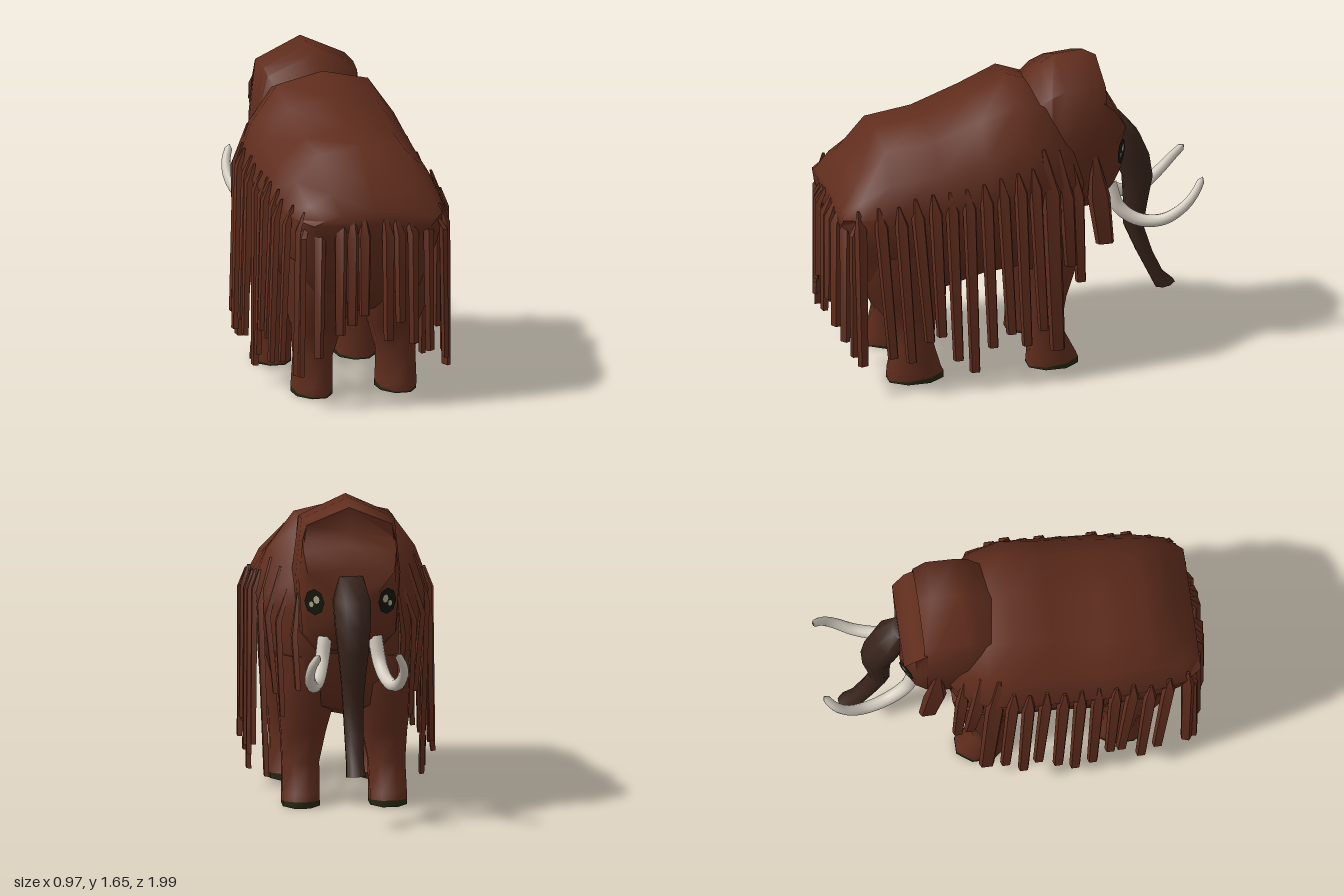
import * as THREE from 'three';
import { toCreasedNormals } from 'three/addons/utils/BufferGeometryUtils.js';

const mat = (name, color) => {
  const m = new THREE.MeshStandardMaterial({ color });
  m.name = name;
  return m;
};

// Closed skin over equal-length rings of [x, y, z]; faces are turned outward.
function loft(rings, crease = 1.1) {
  const n = rings[0].length, pos = [], idx = [];
  rings.forEach(r => r.forEach(p => pos.push(...p)));
  for (let i = 0; i < rings.length - 1; i++) {
    for (let j = 0; j < n; j++) {
      const a = i * n + j, b = i * n + (j + 1) % n;
      idx.push(a, b, a + n, b, b + n, a + n);
    }
  }
  [0, rings.length - 1].forEach((ri, end) => {
    const c = pos.length / 3;
    pos.push(...[0, 1, 2].map(k => rings[ri].reduce((s, p) => s + p[k], 0) / n));
    for (let j = 0; j < n; j++) {
      const a = ri * n + j, b = ri * n + (j + 1) % n;
      idx.push(...(end ? [a, b, c] : [b, a, c]));
    }
  });
  const at = i => new THREE.Vector3().fromArray(pos, i * 3);
  let volume = 0;
  for (let i = 0; i < idx.length; i += 3) volume += at(idx[i]).dot(at(idx[i + 1]).cross(at(idx[i + 2])));
  if (volume < 0) idx.reverse();
  const g = new THREE.BufferGeometry();
  g.setAttribute('position', new THREE.Float32BufferAttribute(pos, 3));
  g.setIndex(idx);
  return toCreasedNormals(g, crease);
}

// Mirrored upright ring at depth z, from a half outline running top to bottom.
const section = (z, half) => [
  ...half.map(([x, y]) => [x, y, z]),
  ...half.slice(1, -1).reverse().map(([x, y]) => [-x, y, z]),
];

// Level eight-sided ring.
const octagon = (x, y, z, rx, rz) => Array.from({ length: 8 }, (_, i) => {
  const a = (i + 0.5) * Math.PI / 4, k = 1 / Math.cos(Math.PI / 8);
  return [x + Math.cos(a) * rx * k, y, z + Math.sin(a) * rz * k];
});

// Pointed lock of hair: leaves the coat at top, bends at the knee, hangs to the end.
function lock(top, knee, end, width) {
  const out = new THREE.Vector3(knee[0] - top[0], 0, knee[2] - top[2]);
  if (Math.abs(top[0]) > 0.25 && top[2] < 0.85) out.z = 0;
  out.normalize();
  const ring = (p, w, t) => [[-w, -t], [w, -t], [w * 0.7, t], [-w * 0.7, t]].map(
    ([u, v]) => [p[0] + out.z * u + out.x * v, p[1], p[2] - out.x * u + out.z * v]);
  const w = width / 2;
  return loft([ring(top, w * 0.2, 0.005), ring(knee, w, 0.014), ring(end, w * 0.8, 0.012)], 0.6);
}

export function createModel() {
  const model = new THREE.Group();
  model.name = 'woollyElephant';
  const fur = mat('brownFur', 0x602d1d);
  const trunkSkin = mat('darkTrunkSkin', 0x38241c);
  const ivory = mat('ivory', 0xd6cec2);
  const sole = mat('darkSole', 0x25260f);
  const eyeDark = mat('eyeDark', 0x14170b);
  const eyeLight = mat('eyeLight', 0xaaa890);
  const add = (name, geometry, material) => {
    const m = new THREE.Mesh(geometry, material);
    m.name = name;
    model.add(m);
  };

  // Body: z, top, bottom, half width, height of widest point
  const body = [
    [0.95, 1.03, 0.86, 0.33, 0.98], [0.86, 1.14, 0.58, 0.4, 1.0],
    [0.70, 1.33, 0.45, 0.43, 1.02], [0.45, 1.36, 0.46, 0.45, 1.05],
    [0.20, 1.46, 0.53, 0.455, 1.08], [0, 1.555, 0.55, 0.46, 1.1],
    [-0.15, 1.5, 0.46, 0.43, 1.08], [-0.28, 1.36, 0.5, 0.34, 1.05],
    [-0.37, 1.2, 0.83, 0.22, 1.0],
  ];
  add('body', loft(body.map(([z, t, b, w, s]) => section(z, [
    [0, t], [w * 0.53, t - (t - s) * 0.12], [w * 0.83, t - (t - s) * 0.54], [w, s],
    [w * 0.88, s * 0.6 + b * 0.4], [w * 0.68, b + 0.06], [0, b],
  ]))), fur);

  // Head: z, top, crown x/y, cheek x/y, jaw x/y, bottom
  const head = [
    [-0.05, 1.5, 0.18, 1.42, 0.2, 1.2, 0.18, 0.95, 0.85],
    [-0.12, 1.54, 0.22, 1.46, 0.24, 1.22, 0.22, 0.95, 0.85],
    [-0.18, 1.6, 0.24, 1.5, 0.26, 1.24, 0.24, 0.95, 0.84],
    [-0.25, 1.64, 0.24, 1.53, 0.275, 1.25, 0.255, 0.95, 0.82],
    [-0.40, 1.65, 0.24, 1.54, 0.27, 1.25, 0.25, 0.95, 0.83],
    [-0.47, 1.61, 0.22, 1.52, 0.255, 1.24, 0.235, 0.96, 0.86],
    [-0.455, 1.48, 0.24, 1.44, 0.26, 1.23, 0.24, 0.95, 0.86],
    [-0.515, 1.42, 0.24, 1.39, 0.235, 1.2, 0.22, 0.99, 0.91],
    [-0.575, 1.31, 0.225, 1.29, 0.135, 1.17, 0.13, 1.03, 0.97],
  ];
  add('head', loft(head.map(([z, t, cx, cy, mx, my, jx, jy, b]) =>
    section(z, [[0, t], [cx, cy], [mx, my], [jx, jy], [jx * 0.6, b], [0, b]]))), fur);

  // Trunk: y, z, half width, half depth
  const trunk = [
    [1.27, -0.57, 0.06, 0.03], [1.15, -0.615, 0.095, 0.08], [1.03, -0.65, 0.09, 0.095],
    [0.9, -0.69, 0.078, 0.075], [0.75, -0.68, 0.062, 0.058], [0.62, -0.67, 0.052, 0.048],
    [0.47, -0.725, 0.048, 0.04], [0.33, -0.79, 0.045, 0.035], [0.27, -0.835, 0.05, 0.05],
  ];
  add('trunk', loft(trunk.map(([y, z, rx, rz], i) => octagon(0, y, z, rx, rz).map(
    ([px, py, pz]) => [px, py + (i > 6 ? (z - pz) * 0.2 : 0), pz]))), trunkSkin);

  // Legs: y, z, half width, half depth, centre x
  const hind = [[0.008, 0.545, 0.095, 0.143, 0.225], [0.06, 0.55, 0.095, 0.135, 0.225],
    [0.2, 0.555, 0.095, 0.1, 0.222], [0.35, 0.565, 0.12, 0.125, 0.205],
    [0.47, 0.59, 0.155, 0.2, 0.2], [0.75, 0.62, 0.17, 0.23, 0.2]];
  const fore = [[0.008, -0.18, 0.095, 0.13, 0.225], [0.07, -0.175, 0.095, 0.12, 0.225],
    [0.22, -0.135, 0.095, 0.085, 0.222], [0.38, -0.145, 0.115, 0.105, 0.21],
    [0.52, -0.16, 0.14, 0.135, 0.2], [0.8, -0.14, 0.16, 0.19, 0.2]];
  // Ring along the top of the sole, rising toward the toes
  const soleTop = ring => {
    const back = Math.max(...ring.map(p => p[2]));
    return ring.map(([x, y, z]) => [x, y + (back - z) * 0.1, z]);
  };

  for (const s of [-1, 1]) {
    const side = s > 0 ? 'Left' : 'Right';
    for (const [name, rows] of [['hind', hind], ['fore', fore]]) {
      const rings = rows.map(([y, z, rx, rz, x]) => octagon(s * x, y, z, rx, rz));
      rings[0] = soleTop(rings[0]);
      add(`${name}Leg${side}`, loft(rings), fur);
      add(`${name}Sole${side}`, loft([rings[0].map(([x, , z]) => [x, 0, z]), rings[0]]), sole);
    }

    // Curved tusk, a tube narrowed toward its tip
    const path = new THREE.CatmullRomCurve3([
      [0.13, 0.94, -0.51], [0.15, 0.81, -0.55], [0.18, 0.735, -0.65], [0.215, 0.735, -0.77],
      [0.24, 0.8, -0.87], [0.235, 0.87, -0.935], [0.2, 0.945, -0.988],
    ].map(([x, y, z]) => new THREE.Vector3(s * x, y, z)));
    const steps = 28, sides = 10;
    const tube = new THREE.TubeGeometry(path, steps, 0.037, sides);
    const p = tube.attributes.position, v = new THREE.Vector3();
    for (let i = 0; i < p.count; i++) {
      const t = Math.floor(i / (sides + 1)) / steps, c = path.getPointAt(t);
      v.fromBufferAttribute(p, i).sub(c).multiplyScalar(t === 1 ? 0.02 : 1 - 0.5 * t * t).add(c);
      p.setXYZ(i, v.x, v.y, v.z);
    }
    add(`tusk${side}`, tube, ivory);

    // Eye patch with glints, set on the slanted cheek
    const eye = new THREE.Group();
    eye.name = `eye${side}`;
    eye.position.set(s * 0.188, 1.135, -0.559);
    eye.lookAt(s * (0.188 + 0.54), 1.095, -0.559 - 0.84);
    [['eyePatch', 0.058, 0, 0, 0, eyeDark], ['eyeGlint', 0.018, s * 0.014, 0.014, 0.004, eyeLight],
      ['eyeGlint', 0.013, s * -0.016, -0.012, 0.004, eyeLight]].forEach(([name, r, x, y, z, m]) => {
      const disc = new THREE.Mesh(new THREE.CircleGeometry(r, 8), m);
      disc.name = name;
      disc.position.set(x, y, z);
      disc.scale.y = 1.2;
      eye.add(disc);
    });
    model.add(eye);

    // Ear
    add(`ear${side}`, lock([s * 0.255, 1.18, -0.4], [s * 0.28, 0.93, -0.42], [s * 0.265, 0.66, -0.455], 0.12), fur);

    // Flank locks: top z, top y, end z, end y, reach
    [[0.88, 1.04, 0.86, 0.18, 0.395], [0.78, 1.06, 0.71, 0.22, 0.425], [0.68, 1.07, 0.62, 0.2, 0.455],
      [0.59, 1.1, 0.52, 0.3, 0.445], [0.5, 1.12, 0.46, 0.33, 0.46], [0.41, 1.12, 0.37, 0.18, 0.45],
      [0.32, 1.13, 0.28, 0.1, 0.455], [0.23, 1.15, 0.19, 0.24, 0.465], [0.14, 1.17, 0.09, 0.3, 0.455],
      [0.05, 1.19, 0.01, 0.23, 0.465], [-0.03, 1.2, -0.08, 0.3, 0.45]].forEach(([z, y, ez, ey, w]) => {
      add(`flankLock${side}`, lock([s * (w - 0.03), y, z], [s * w, y - 0.1, z - 0.01],
        [s * (w + (ey < 0.15 ? -0.005 : 0.01)), ey, ez], 0.07), fur);
    });
    // Broad shoulder locks
    add(`shoulderLock${side}`, lock([s * 0.37, 1.28, -0.1], [s * 0.43, 1.05, -0.13], [s * 0.4, 0.15, -0.17], 0.1), fur);
    add(`shoulderLock${side}`, lock([s * 0.33, 1.25, -0.19], [s * 0.4, 1, -0.22], [s * 0.36, 0.6, -0.25], 0.08), fur);
    add(`shoulderLock${side}`, lock([s * 0.28, 1.2, -0.26], [s * 0.35, 0.98, -0.29], [s * 0.33, 0.49, -0.31], 0.07), fur);
  }

  // Rump locks fanned round the back: x, end height
  [[-0.38, 0.18], [-0.3, 0.28], [-0.195, 0.4], [-0.135, 0.45], [-0.07, 0.5], [0.06, 0.36], [0.125, 0.45],
    [0.2, 0.33], [0.29, 0.28], [0.38, 0.23]].forEach(([x, y]) => {
    const back = 0.985 - x * x * 0.62;
    add('rumpLock', lock([x * 0.84, 1.03, back - 0.055], [x, 0.91, back], [x * 1.02, y, back + 0.002], 0.066), fur);
  });

  return model;
}
